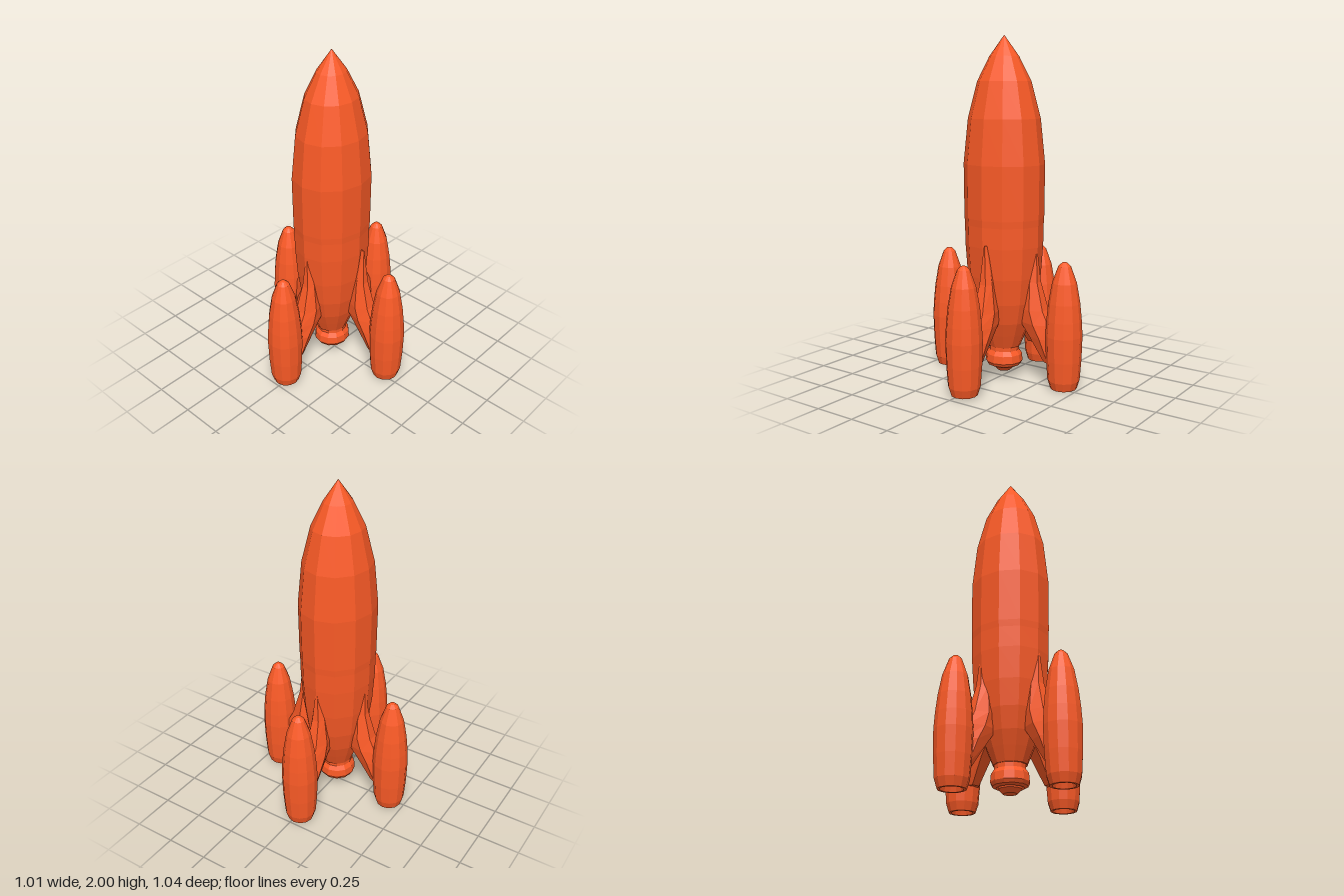
import * as THREE from 'three';

const paint = new THREE.MeshStandardMaterial({ color: 0xfa5a26, flatShading: true });

// Faceted 12-sided body of revolution from [radius, height] pairs, bottom to top
function turned(name, profile) {
  const points = profile.map(([r, y]) => new THREE.Vector2(r, y));
  const mesh = new THREE.Mesh(new THREE.LatheGeometry(points, 12), paint);
  mesh.name = name;
  return mesh;
}

// Strut reaching out along +x: hexagonal sections [height, inner, outer, half width]
function strutGeometry() {
  const sections = [
    [0.14, 0.29, 0.36, 0.04],
    [0.28, 0.2, 0.35, 0.062],
    [0.36, 0.14, 0.325, 0.068],
    [0.44, 0.13, 0.285, 0.066],
    [0.6, 0.16, 0.24, 0.042],
    [0.82, 0.19, 0.222, 0.004],
  ];
  const position = [];
  const index = [];
  for (const [y, a, b, w] of sections) {
    const m = a + (b - a) * 0.55;
    const loop = [[b, 0.5 * w], [b, -0.5 * w], [m, -w], [a, -0.6 * w], [a, 0.6 * w], [m, w]];
    for (const [x, z] of loop) position.push(x, y, z);
  }
  const top = (sections.length - 1) * 6;
  for (let i = 0; i < top; i += 6) {
    for (let j = 0; j < 6; j++) {
      const k = (j + 1) % 6;
      index.push(i + j, i + k, i + 6 + k, i + j, i + 6 + k, i + 6 + j);
    }
  }
  // End caps
  for (let j = 1; j < 5; j++) {
    index.push(0, j + 1, j, top, top + j, top + j + 1);
  }
  const geometry = new THREE.BufferGeometry();
  geometry.setAttribute('position', new THREE.Float32BufferAttribute(position, 3));
  geometry.setIndex(index);
  geometry.computeVertexNormals();
  return geometry;
}

export function createModel() {
  const model = new THREE.Group();
  model.name = 'rocket';

  // Main hull, slightly narrower across than deep
  const hull = turned('hull', [
    [0, 0.19], [0.1, 0.19], [0.135, 0.27], [0.168, 0.35], [0.2, 0.47], [0.222, 0.62],
    [0.235, 0.8], [0.237, 0.92], [0.24, 0.96], [0.243, 1.27], [0.216, 1.53],
    [0.16, 1.74], [0.088, 1.88], [0, 2],
  ]);
  hull.scale.x = 0.91;
  hull.position.x = -0.02;

  // Flared engine ring with a rounded core
  const nozzle = turned('engineNozzle', [
    [0, 0.025], [0.04, 0.035], [0.065, 0.06], [0.068, 0.08], [0.08, 0.065],
    [0.1, 0.075], [0.112, 0.095], [0.108, 0.14], [0.09, 0.165], [0.09, 0.2],
  ]);
  nozzle.scale.x = 0.96;
  nozzle.position.x = -0.02;
  model.add(hull, nozzle);

  // Booster pods with hollow exhausts, each carried by a swept strut
  const podProfile = [
    [0, 0.07], [0.045, 0.07], [0.062, 0], [0.076, 0], [0.092, 0.05], [0.101, 0.17],
    [0.105, 0.31], [0.1, 0.4], [0.09, 0.5], [0.07, 0.615], [0.036, 0.71], [0.015, 0.73], [0, 0.733],
  ];
  const strut = strutGeometry();
  const mounts = [
    { side: 'left', pod: [0.4, 0.01, -0.025], strut: [-0.012, -0.025], turn: 0 },
    { side: 'back', pod: [-0.02, 0.005, -0.415], strut: [-0.02, -0.005], turn: Math.PI / 2 },
    { side: 'right', pod: [-0.4, 0, -0.01], strut: [0.005, -0.018], turn: Math.PI },
    { side: 'front', pod: [-0.02, 0, 0.412], strut: [-0.01, 0.005], turn: -Math.PI / 2 },
  ];
  for (const mount of mounts) {
    const pod = turned(mount.side + 'Booster', podProfile);
    pod.position.set(...mount.pod);
    const arm = new THREE.Mesh(strut, paint);
    arm.name = mount.side + 'Strut';
    arm.position.set(mount.strut[0], 0, mount.strut[1]);
    arm.rotation.y = mount.turn;
    model.add(pod, arm);
  }
  return model;
}
